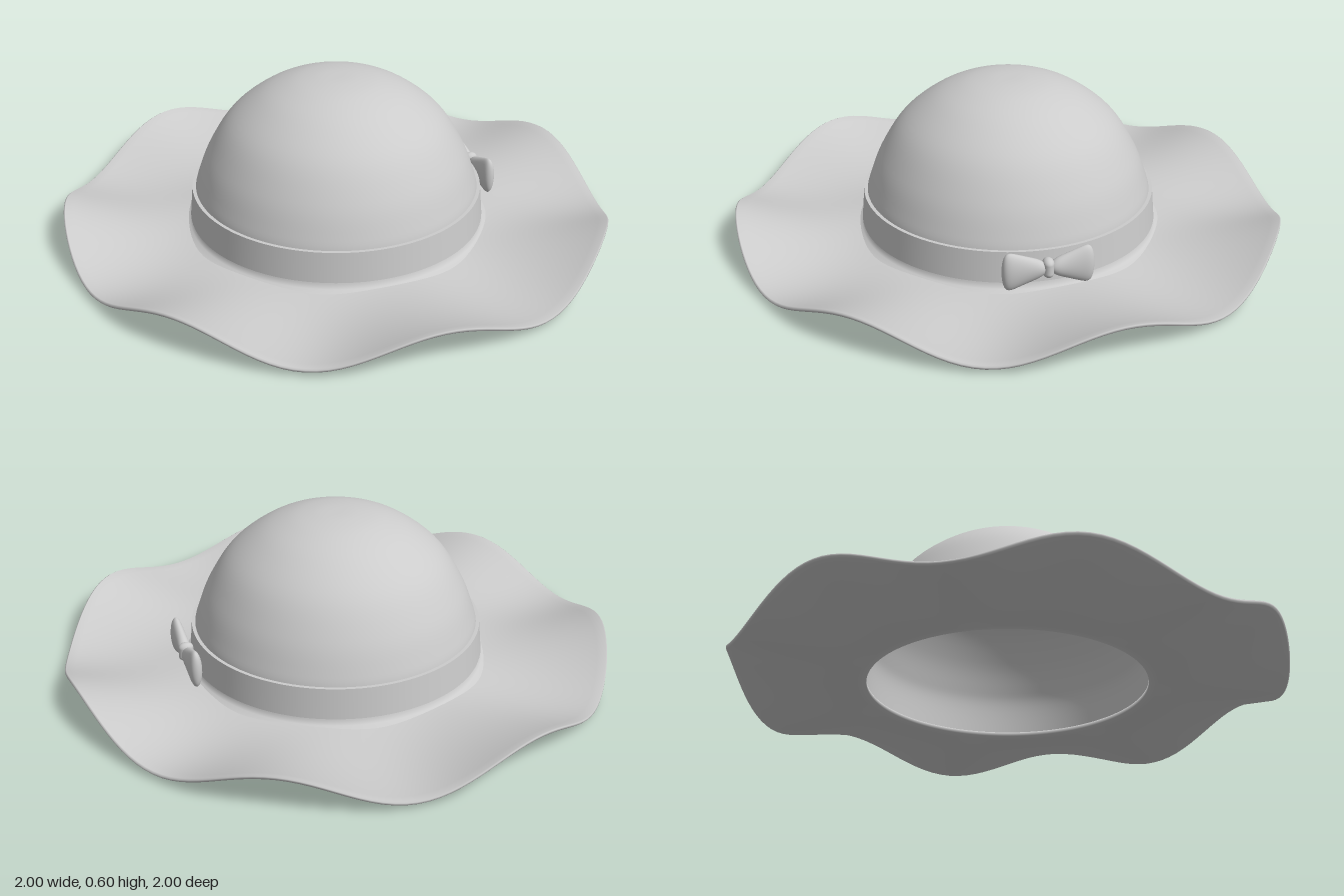
import * as THREE from 'three';
import { mergeVertices } from 'three/addons/utils/BufferGeometryUtils.js';

const material = new THREE.MeshStandardMaterial({ color: 0xcccccc, side: THREE.DoubleSide });
const v2 = (x, y) => new THREE.Vector2(x, y);

function addMesh(parent, name, geometry) {
  const mesh = new THREE.Mesh(geometry, material);
  mesh.name = name;
  parent.add(mesh);
  return mesh;
}

// Move every vertex by a rule, then weld and smooth the surface.
function deform(geometry, rule) {
  const p = geometry.attributes.position;
  const v = new THREE.Vector3();
  for (let i = 0; i < p.count; i++) {
    rule(v.fromBufferAttribute(p, i));
    p.setXYZ(i, v.x, v.y, v.z);
  }
  geometry.deleteAttribute('normal');
  geometry.deleteAttribute('uv');
  const welded = mergeVertices(geometry, 1e-5);
  welded.computeVertexNormals();
  return welded;
}

// Thin floppy brim: dips beside the crown, then lifts into seven waves at the rim.
function brimGeometry() {
  const inner = 0.505, steps = 16, thick = 0.015;
  const lower = [], upper = [];
  for (let i = 0; i <= steps; i++) {
    const r = inner + (0.995 - inner) * i / steps;
    lower.push(v2(r, 0));
    upper.unshift(v2(r, thick));
  }
  const profile = [...lower, v2(1, thick * 0.3), v2(1, thick * 0.7), ...upper, v2(inner, 0)];
  return deform(new THREE.LatheGeometry(profile, 168), (v) => {
    const t = Math.max(0, (Math.hypot(v.x, v.z) - inner) / (1 - inner));
    const wave = -Math.cos(7 * Math.atan2(v.z, v.x));
    v.y += 0.023 - 0.05 * t + 0.094 * t * t + 0.052 * wave * Math.pow(t, 1.35);
  });
}

// Dome profile from the opening up to the top.
const dome = new THREE.SplineCurve([
  v2(0.525, 0.03), v2(0.522, 0.15), v2(0.505, 0.22), v2(0.465, 0.32), v2(0.39, 0.437),
  v2(0.28, 0.527), v2(0.175, 0.575), v2(0.08, 0.594), v2(0, 0.597),
]).getPoints(40);

// Puffed bow loop, narrow at the knot and tall and blunt at the far end.
function loopGeometry(side) {
  const geometry = new THREE.SphereGeometry(1, 32, 32);
  geometry.rotateZ(-Math.PI / 2);
  return deform(geometry, (v) => {
    const a = v.x;
    const fuller = Math.sqrt(1 + a * a + a ** 4);
    const half = 0.053 + 0.029 * a;
    v.set(side * (0.083 + 0.078 * a), v.y * fuller * half, side * v.z * fuller * 0.024);
  });
}

export function createModel() {
  const hat = new THREE.Group();
  hat.name = 'sunHat';

  addMesh(hat, 'brim', brimGeometry());

  // Crown with a small flare into the brim, and its lining.
  addMesh(hat, 'crown', new THREE.LatheGeometry([v2(0.565, 0.03), v2(0.545, 0.039), v2(0.532, 0.052), ...dome.slice(3)], 96));
  addMesh(hat, 'lining', new THREE.LatheGeometry(dome.map((p) => v2(p.x * 0.963, p.y * 0.975 - 0.005)).reverse(), 96));

  // Ribbon band: separate faces keep its top and bottom edges crisp.
  const band = new THREE.Group();
  band.name = 'band';
  hat.add(band);
  const corners = [v2(0.515, 0.062), v2(0.541, 0.062), v2(0.531, 0.175), v2(0.515, 0.175)];
  ['bandUnderside', 'bandFace', 'bandTop'].forEach((name, i) => {
    addMesh(band, name, new THREE.LatheGeometry([corners[i], corners[i + 1]], 96));
  });

  // Bow standing on the side of the band.
  const bow = new THREE.Group();
  bow.name = 'bow';
  const angle = -0.31;
  bow.position.set(0.572 * Math.cos(angle), 0.131, 0.572 * Math.sin(angle));
  bow.rotation.y = Math.PI / 2 - angle;
  hat.add(bow);
  addMesh(bow, 'bowLoopLeft', loopGeometry(1));
  addMesh(bow, 'bowLoopRight', loopGeometry(-1));
  addMesh(bow, 'bowKnot', new THREE.CapsuleGeometry(0.02, 0.032, 8, 24)).scale.set(1, 1, 1.35);

  return hat;
}
